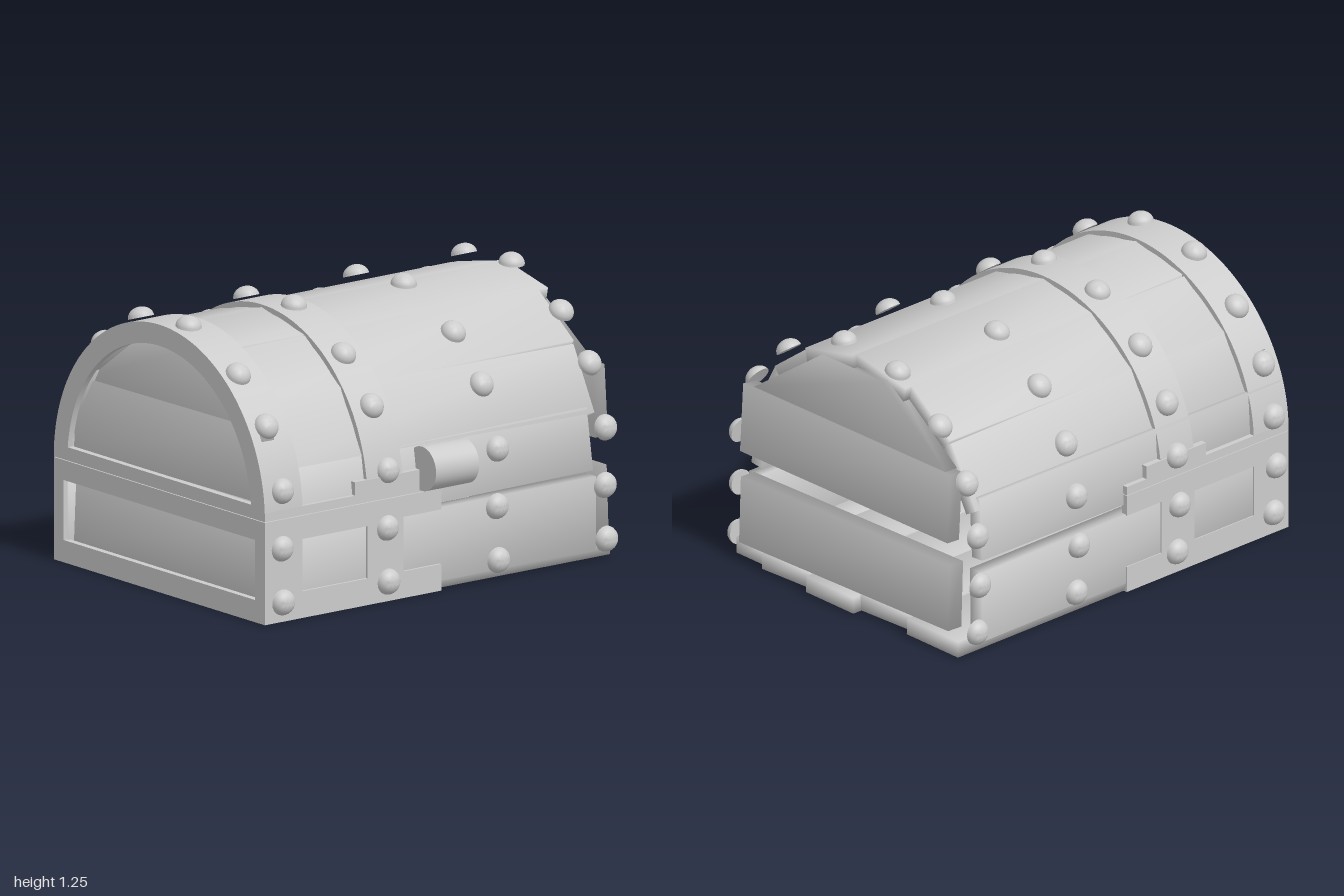
import * as THREE from 'three';
import { mergeVertices, toCreasedNormals } from 'three/addons/utils/BufferGeometryUtils.js';

const CZ = -0.025, SEAM = 0.46, R = 0.74; // centre of the lid arc and its radius

export function createModel() {
  const chest = new THREE.Group();
  chest.name = 'treasureChest';
  const mat = new THREE.MeshStandardMaterial({ color: 0xcccccc });

  const add = (name, geo, x = 0, y = 0, z = 0, rx = 0, ry = 0, rz = 0) => {
    const m = new THREE.Mesh(geo, mat);
    m.name = name;
    m.position.set(x, y, z);
    m.rotation.set(rx, ry, rz);
    chest.add(m);
    return m;
  };

  // Board with shared corner normals for a soft, padded look; taper narrows the top along z
  const board = (w, h, d, taper = 1) => {
    const g = new THREE.BoxGeometry(w, h, d);
    const p = g.attributes.position;
    for (let i = 0; i < p.count; i++) if (p.getY(i) > 0) p.setZ(i, p.getZ(i) * taper);
    g.deleteAttribute('normal');
    g.deleteAttribute('uv');
    const soft = mergeVertices(g);
    soft.computeVertexNormals();
    return soft;
  };

  const poly = pts => new THREE.Shape(pts.map(([x, y]) => new THREE.Vector2(x, y)));
  const rect = (x0, y0, x1, y1) => poly([[x0, y0], [x1, y0], [x1, y1], [x0, y1]]);
  const plate = (shape, depth) => toCreasedNormals(
    new THREE.ExtrudeGeometry(shape, { depth, bevelEnabled: false, curveSegments: 32 }), 0.5);
  // Plate drawn in the z-y plane, running from x towards -x
  const endPlate = (name, shape, x, y, depth) =>
    add(name, plate(shape, depth), x, y, CZ, 0, -Math.PI / 2);

  // Floor planks
  const edges = [0.7, 0.5, 0.19, -0.11, -0.43, -0.755];
  const floorEnds = [0.93, 0.97, 1.0, 0.96, 0.99];
  floorEnds.forEach((end, i) => {
    const a = edges[i], b = edges[i + 1];
    add('floorPlank', board(end + 0.97, 0.075, a - b - 0.004),
      (end - 0.97) / 2, 0.045 + (i % 2) * 0.006, (a + b) / 2, (i % 2 ? 1 : -1) * 0.02);
  });

  // Front and back planks: the straight base ones and the leaning ones at the lid's foot
  add('baseFrontPlank', board(1.83, 0.33, 0.07), -0.065, 0.205, 0.668, 0, 0, 0.004);
  add('baseBackPlank', board(1.83, 0.33, 0.075), -0.065, 0.205, -0.722, 0, 0, -0.004);
  add('lidFrontPlank', board(1.8, 0.28, 0.065), -0.075, 0.53, 0.66, -0.15, 0, 0.01);
  add('lidBackPlank', board(1.82, 0.29, 0.065), -0.075, 0.555, -0.705, 0.06, 0, 0.006);

  // Lid planks laid as chords of the arc
  const cuts = [16, 41, 66, 90, 114, 139, 164];
  const lidEnds = [0.86, 0.87, 0.92, 0.9, 0.86, 0.86];
  lidEnds.forEach((end, i) => {
    const a0 = cuts[i] * Math.PI / 180, a1 = cuts[i + 1] * Math.PI / 180;
    const half = (a1 - a0) / 2, mid = (a0 + a1) / 2;
    const r = 0.73 * Math.cos(half) - 0.035;
    add('lidPlank', board(end + 0.97, 0.07, 2 * 0.73 * Math.sin(half)),
      (end - 0.97) / 2, SEAM + r * Math.sin(mid), CZ + r * Math.cos(mid),
      Math.PI / 2 - mid, (i % 2 ? 1 : -1) * 0.008);
  });

  // End planks on both sides
  for (const s of [1, -1]) {
    const side = s > 0 ? 'left' : 'right';
    add(side + 'BaseEndPlank', board(0.08, 0.31, 1.31), s * 0.92, 0.245, -0.01, 0.005, 0, s * 0.04);
    add(side + 'LidLowerEndPlank', board(0.07, 0.32, 1.3), s * 0.925, 0.68, -0.015, -0.01, 0, s * 0.05);
    add(side + 'LidUpperEndPlank', board(0.07, 0.29, 1.2, 0.32), s * 0.9, 0.985, -0.025, -0.01, 0, s * 0.04);
  }

  // Metal frame on the base: front and back plates with a window, and an end frame
  const basePlate = poly([[-1, 0], [-0.02, 0], [-0.02, 0.12], [-0.23, 0.12],
    [-0.23, 0.365], [-0.02, 0.365], [-0.02, SEAM], [-1, SEAM]]);
  basePlate.holes.push(rect(-0.79, 0.12, -0.43, 0.355));
  const baseEnd = rect(-R, 0, R, SEAM);
  baseEnd.holes.push(rect(-R + 0.07, 0.1, R - 0.07, 0.37));
  endPlate('baseEndFrame', baseEnd, -0.97, 0, 0.03);

  // Metal lip along the lid, raised where the strap meets it
  const lidLip = poly([[-1, SEAM], [-0.02, SEAM], [-0.02, 0.5], [-0.14, 0.5], [-0.14, 0.56],
    [-0.5, 0.56], [-0.5, 0.5], [-1, 0.5]]);
  for (const [name, z] of [['front', CZ + R - 0.03], ['back', CZ - R]]) {
    add(name + 'BasePlate', plate(basePlate, 0.03), 0, 0, z);
    add(name + 'LidLip', plate(lidLip, 0.03), 0, 0.003, z);
  }

  // Arched lid end frame
  const arch = (r0, y0) => {
    const s = new THREE.Shape(), a = Math.asin(y0 / r0);
    s.absarc(0, 0, r0, a, Math.PI - a, false);
    s.closePath();
    return s;
  };
  const lidEnd = arch(R, 0);
  lidEnd.holes.push(arch(0.645, 0.06));
  endPlate('lidEndFrame', lidEnd, -0.97, SEAM + 0.003, 0.03);

  // Curved bands over the lid
  const band = new THREE.Shape();
  band.absarc(0, 0, R, 0, Math.PI, false);
  band.absarc(0, 0, R - 0.025, Math.PI, 0, true);
  band.closePath();
  endPlate('lidEndBand', band, -0.79, SEAM + 0.003, 0.205);
  endPlate('lidStrap', band, -0.23, SEAM + 0.003, 0.2);

  // Round lock barrel
  add('lock', toCreasedNormals(new THREE.CylinderGeometry(0.1, 0.1, 0.24, 32), 0.5),
    -0.02, 0.57, 0.73, 0, 0, Math.PI / 2);

  // Domed rivets: [z, y, x shift] of each row of four
  const dome = [new THREE.Vector2(0, 0)];
  for (let i = 0; i <= 8; i++) {
    const t = i / 8 * Math.PI / 2;
    dome.push(new THREE.Vector2(i === 8 ? 0 : 0.058 * Math.cos(t), 0.048 * Math.sin(t)));
  }
  const rivet = toCreasedNormals(new THREE.LatheGeometry(dome, 20), 0.9);
  const rows = [[0.72, 0.09, 0], [0.71, 0.33, 0], [0.7, 0.585, 0.01], [0.615, 0.86, -0.01],
    [0.425, 1.055, -0.015], [0.085, 1.205, -0.02], [-0.26, 1.175, -0.01], [-0.535, 1.01, 0],
    [-0.7, 0.79, 0], [-0.765, 0.56, 0], [-0.78, 0.33, 0], [-0.765, 0.1, 0]];
  for (const [z, y, dx] of rows) {
    const tilt = Math.atan2(z - CZ, Math.max(0, y - SEAM));
    for (const x of [-0.905, -0.32, 0.29, 0.89]) add('rivet', rivet, x + dx, y, z, tilt);
  }

  return chest;
}
